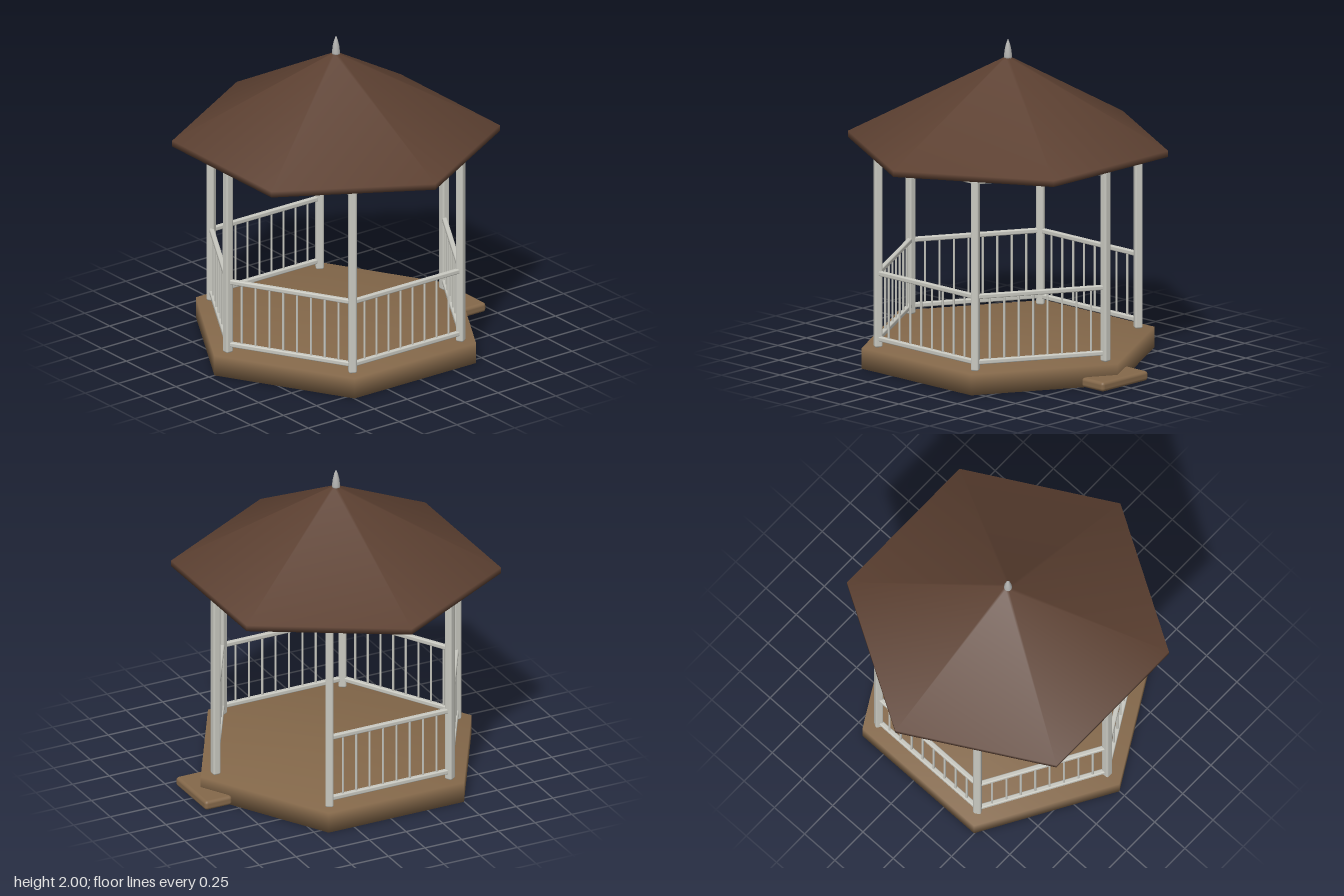
import * as THREE from 'three';
import { mergeVertices } from 'three/addons/utils/BufferGeometryUtils.js';
import { RoundedBoxGeometry } from 'three/addons/geometries/RoundedBoxGeometry.js';

const wood = new THREE.MeshStandardMaterial({ name: 'deck wood', color: 0x84684a });
const roofBrown = new THREE.MeshStandardMaterial({ name: 'roof brown', color: 0x5c4031 });
const paint = new THREE.MeshStandardMaterial({ name: 'pale paint', color: 0xc8c8c0 });
const metal = new THREE.MeshStandardMaterial({ name: 'finial metal', color: 0xb4b4b2 });

function add(parent, name, geometry, material, x = 0, y = 0, z = 0) {
  const mesh = new THREE.Mesh(geometry, material);
  mesh.name = name;
  mesh.position.set(x, y, z);
  parent.add(mesh);
  return mesh;
}

// Solid of revolution with shared, soft normals
function softLathe(profile, sides) {
  let geometry = new THREE.LatheGeometry(profile.map(([r, y]) => new THREE.Vector2(r, y)), sides);
  geometry.deleteAttribute('uv');
  geometry.deleteAttribute('normal');
  geometry = mergeVertices(geometry, 1e-4);
  geometry.computeVertexNormals();
  return geometry;
}

export function createModel() {
  const model = new THREE.Group();
  model.name = 'gazebo';
  const body = new THREE.Group();
  body.name = 'pavilion';
  body.position.x = -0.037;
  model.add(body);

  // Six-sided deck with a corner on each side, and the entrance step
  const deck = softLathe([[0, 0], [0.922, 0], [0.922, 0.13], [0, 0.13]], 6);
  deck.rotateY(Math.PI / 6);
  add(body, 'deck', deck, wood);
  add(model, 'step', new RoundedBoxGeometry(0.185, 0.06, 0.4, 3, 0.02), wood, 0.862, 0.032, 0);

  // Roof, turned so that its corners point to front and back
  add(body, 'roof', softLathe([[0, 1.322], [1, 1.322], [1, 1.36], [0.02, 1.885], [0, 1.885]], 6), roofBrown);
  add(body, 'finial', softLathe([[0, 1.87], [0.023, 1.875], [0.025, 1.89], [0.021, 1.93], [0.012, 1.97], [0, 2]], 16), metal);

  // Posts, beams and railings around the hexagon
  const radius = 0.82;
  const apothem = radius * Math.cos(Math.PI / 6);
  const postGeo = new RoundedBoxGeometry(0.05, 1.195, 0.05, 2, 0.012);
  const beamGeo = new RoundedBoxGeometry(radius, 0.03, 0.03, 2, 0.008);
  const balusterGeo = new THREE.CylinderGeometry(0.007, 0.007, 0.41, 8);
  const openSide = 2; // entrance at the back right
  for (let i = 0; i < 6; i++) {
    const angle = (i * Math.PI) / 3;
    const corner = angle + Math.PI / 6;
    const post = add(body, 'post', postGeo, paint, radius * Math.sin(corner), 0.7275, radius * Math.cos(corner));
    post.rotation.y = corner;

    const side = new THREE.Group();
    side.name = i === openSide ? 'entrance' : 'railing';
    side.rotation.y = angle;
    body.add(side);
    add(side, 'topBeam', beamGeo, paint, 0, 1.312, apothem);
    if (i === openSide) continue;
    add(side, 'handrail', beamGeo, paint, 0, 0.593, apothem);
    add(side, 'lowerRail', beamGeo, paint, 0, 0.183, apothem);
    for (let k = 1; k <= 8; k++) {
      add(side, 'baluster', balusterGeo, paint, radius * (k / 9 - 0.5), 0.388, apothem);
    }
  }
  return model;
}
